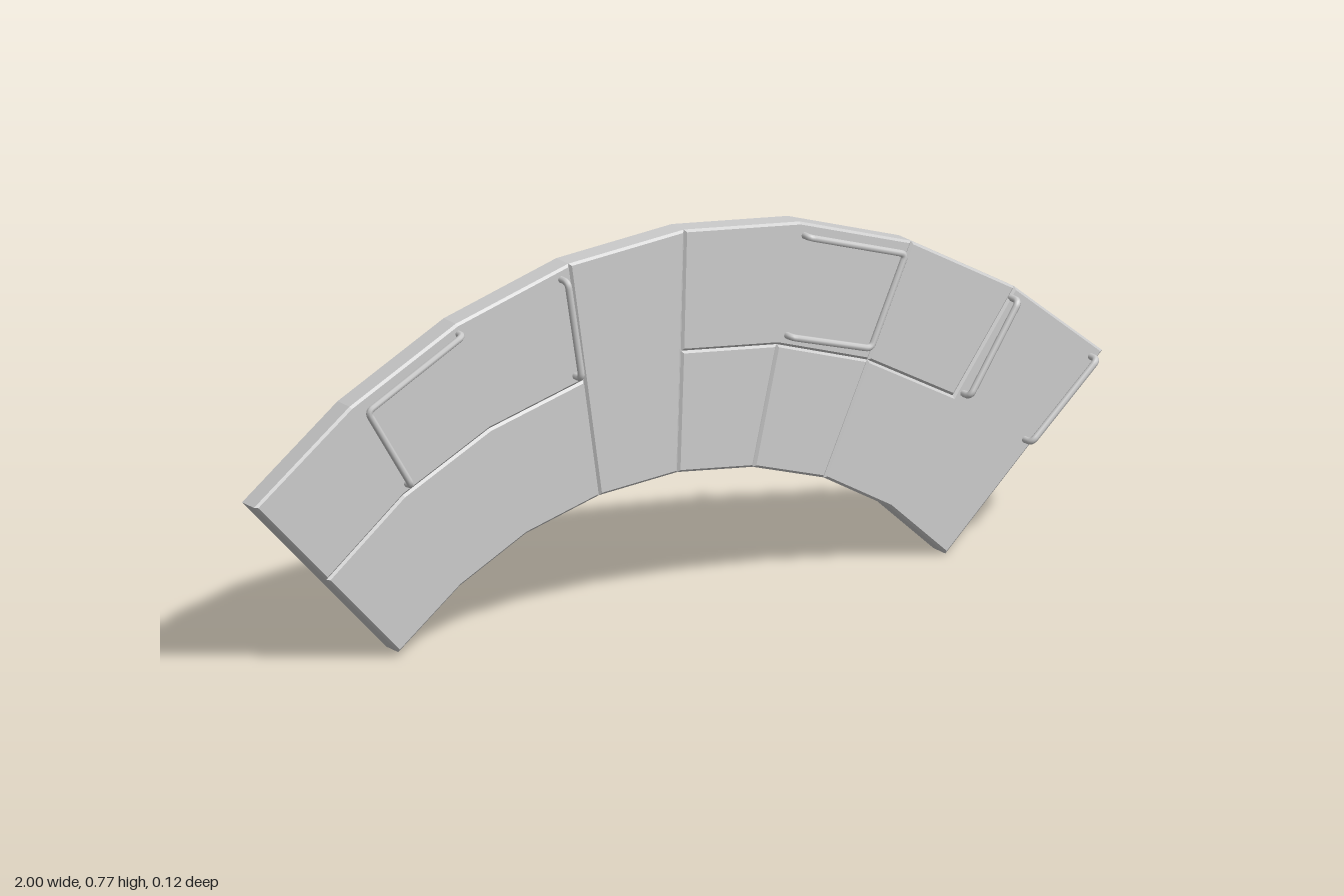
import * as THREE from 'three';

const material = new THREE.MeshStandardMaterial({ color: 0xcccccc });

// Three rows of points along the arch, one per spoke, from -x to +x
const rows = {
  outer: [[-1, 0.368], [-0.775, 0.54], [-0.525, 0.67], [-0.26, 0.75], [0.012, 0.775], [0.285, 0.746], [0.547, 0.662], [0.79, 0.527], [0.997, 0.36]],
  mid: [[-0.83, 0.19], [-0.65, 0.336], [-0.447, 0.44], [-0.225, 0.503], [0.005, 0.525], [0.23, 0.501], [0.444, 0.433], [0.645, 0.325], [0.812, 0.18]],
  inner: [[-0.66, 0.012], [-0.515, 0.126], [-0.36, 0.208], [-0.188, 0.258], [-0.004, 0.275], [0.174, 0.256], [0.341, 0.206], [0.495, 0.12], [0.628, 0]],
};
const FRONT = 0.029, BACK = -0.025, BEVEL = 0.005;

const row = (name, from, to) => rows[name].slice(from, to + 1);
// Outline between two rows, from one spoke to another
const band = (top, bottom, from, to) => [...row(bottom, from, to), ...row(top, from, to).reverse()];
const upper = (a, b) => band('outer', 'mid', a, b);
const lower = (a, b) => band('mid', 'inner', a, b);
const full = (a, b) => band('outer', 'inner', a, b);

const toShape = (points) => new THREE.Shape(points.map(([x, y]) => new THREE.Vector2(x, y)));

function addMesh(parent, geometry, name) {
  const mesh = new THREE.Mesh(geometry, material);
  mesh.name = name;
  parent.add(mesh);
  return mesh;
}

// Thin plate with chamfered edges; its inner half is sunk into the core
function addPlate(parent, outline, face, name) {
  const geometry = new THREE.ExtrudeGeometry(toShape(outline), {
    depth: 0.0004, bevelEnabled: true, bevelSegments: 1,
    bevelThickness: BEVEL, bevelSize: BEVEL, bevelOffset: -BEVEL,
  });
  geometry.translate(0, 0, face > 0 ? face - BEVEL - 0.0004 : face + BEVEL);
  addMesh(parent, geometry, name);
}

// Bent pipe with rounded corners; both ends turn down into the panel
function addRail(parent, points, z, name) {
  const path = points.map(([x, y]) => new THREE.Vector3(x, y, z));
  const foot = (p) => new THREE.Vector3(p.x, p.y, 0.01 * Math.sign(z));
  const nodes = [foot(path[0]), ...path, foot(path[path.length - 1])];
  const curve = new THREE.CurvePath();
  let start = nodes[0];
  for (let i = 1; i < nodes.length - 1; i++) {
    const corner = nodes[i];
    const toward = (q) => corner.clone().add(q.clone().sub(corner).setLength(0.013));
    const a = toward(nodes[i - 1]), b = toward(nodes[i + 1]);
    curve.add(new THREE.LineCurve3(start, a));
    curve.add(new THREE.QuadraticBezierCurve3(a, corner, b));
    start = b;
  }
  curve.add(new THREE.LineCurve3(start, nodes[nodes.length - 1]));
  addMesh(parent, new THREE.TubeGeometry(curve, 50 * points.length, 0.007, 8), name);
}

export function createModel() {
  const model = new THREE.Group();
  model.name = 'archedPanel';

  // Solid core behind the plates
  const core = new THREE.ExtrudeGeometry(toShape(full(0, 8)), {
    depth: FRONT - BACK - 2 * BEVEL, bevelEnabled: false,
  });
  core.translate(0, 0, BACK + BEVEL);
  addMesh(model, core, 'core');

  // Front plates, the last one L-shaped
  const frontPlates = new THREE.Group();
  frontPlates.name = 'frontPlates';
  [
    upper(0, 3), lower(0, 3), full(3, 4), upper(4, 6), lower(4, 5), lower(5, 6), upper(6, 7),
    [...row('inner', 6, 8), ...row('outer', 7, 8).reverse(), ...row('mid', 6, 7).reverse()],
  ].forEach((outline) => addPlate(frontPlates, outline, FRONT, 'frontPlate'));

  // Back plates, the last one L-shaped
  const backPlates = new THREE.Group();
  backPlates.name = 'backPlates';
  [
    upper(6, 8), lower(6, 8), upper(4, 6), lower(5, 6), lower(4, 5), upper(2, 4), lower(3, 4), lower(1, 3),
    [...row('inner', 0, 1), ...row('mid', 1, 2), ...row('outer', 0, 2).reverse()],
  ].forEach((outline) => addPlate(backPlates, outline, BACK, 'backPlate'));

  // Front rails
  const frontRails = new THREE.Group();
  frontRails.name = 'frontRails';
  [
    [0.047, [[-0.522, 0.65], [-0.747, 0.53], [-0.643, 0.36]]],
    [0.054, [[-0.28, 0.722], [-0.247, 0.517]]],
    [0.047, [[0.293, 0.717], [0.52, 0.645], [0.438, 0.463], [0.252, 0.517]]],
    [0.054, [[0.782, 0.505], [0.667, 0.327]]],
    [0.054, [[0.967, 0.353], [0.812, 0.207]]],
  ].forEach(([z, points]) => addRail(frontRails, points, z, 'frontRail'));

  // Back rails
  const backRails = new THREE.Group();
  backRails.name = 'backRails';
  [
    [-0.047, [[0.757, 0.524], [0.643, 0.355]]],
    [-0.054, [[0.557, 0.634], [0.475, 0.445]]],
    [-0.049, [[0.033, 0.749], [0.264, 0.722], [0.226, 0.521], [0.033, 0.541]]],
    [-0.054, [[-0.013, 0.75], [-0.018, 0.535]]],
    [-0.045, [[-0.474, 0.444], [-0.643, 0.355]]],
  ].forEach(([z, points]) => addRail(backRails, points, z, 'backRail'));

  model.add(frontPlates, backPlates, frontRails, backRails);
  return model;
}
